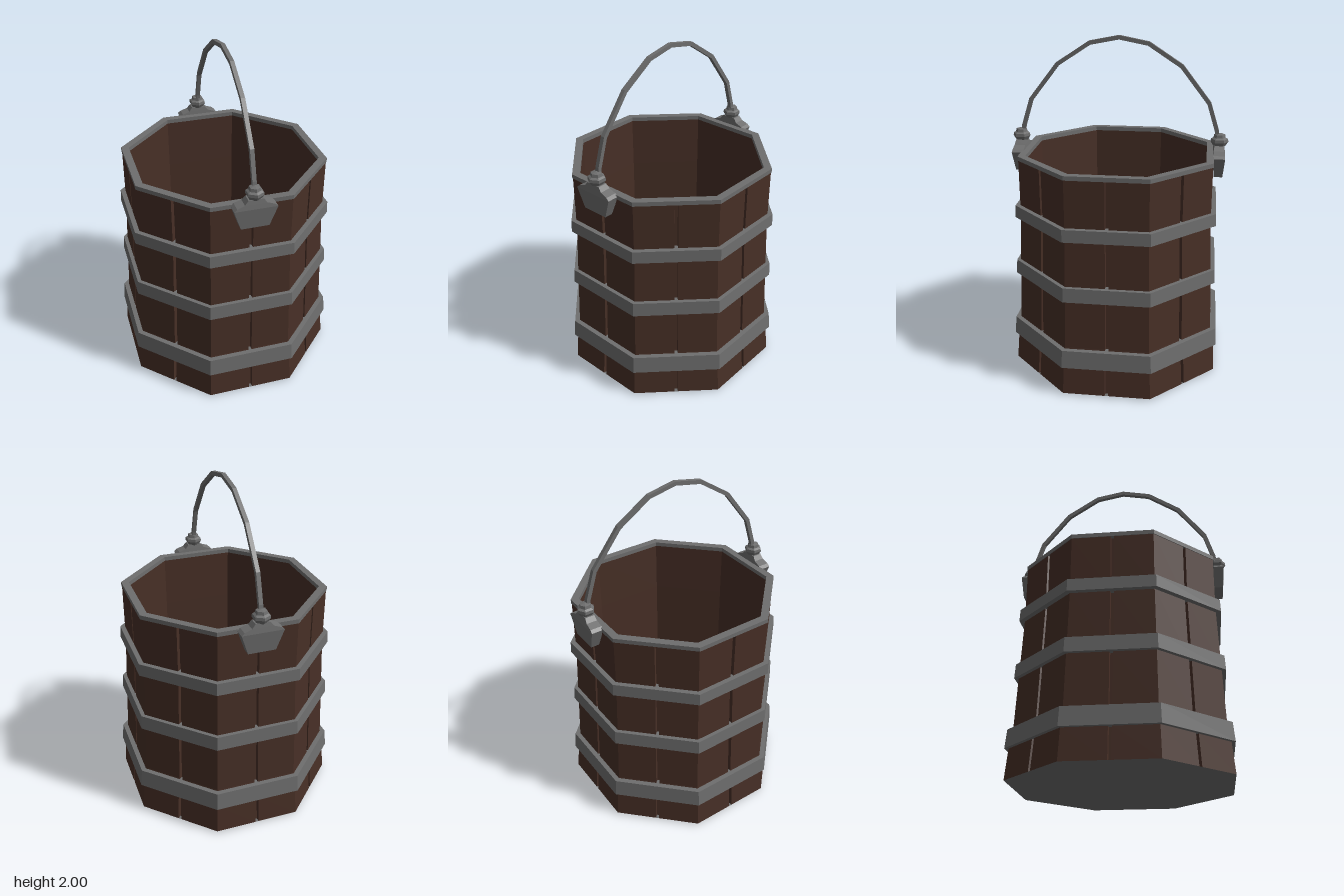
import * as THREE from 'three';

const metal = new THREE.MeshStandardMaterial({ color: 0x6e6e6e, flatShading: true });
const floorMetal = new THREE.MeshStandardMaterial({ color: 0x6e6e6e, flatShading: true, side: THREE.DoubleSide });
const wood = new THREE.MeshStandardMaterial({ color: 0x472f26, flatShading: true });
const SIDES = 8;

function part(name, geometry, material) {
  const mesh = new THREE.Mesh(geometry, material);
  mesh.name = name;
  return mesh;
}

// Skin a stack of equally sized closed rings, optionally closing both ends
function loft(rings, capped = true) {
  const n = rings[0].length;
  const index = [];
  for (let r = 0; r < rings.length - 1; r++) {
    for (let i = 0; i < n; i++) {
      const a = r * n + i, b = r * n + (i + 1) % n;
      index.push(a, b, a + n, b, b + n, a + n);
    }
  }
  if (capped) {
    const top = (rings.length - 1) * n;
    for (let i = 1; i < n - 1; i++) index.push(0, i + 1, i, top, top + i, top + i + 1);
  }
  const geometry = new THREE.BufferGeometry().setFromPoints(rings.flat());
  geometry.setIndex(index);
  geometry.computeVertexNormals();
  return geometry;
}

// Eight-sided turned shape from [radius, height] pairs
function turned(profile, sides = SIDES) {
  return new THREE.LatheGeometry(profile.map(([r, y]) => new THREE.Vector2(r, y)), sides);
}

// Hoop with a slightly tapering outer face
function hoop(y0, y1, r0, r1, inner) {
  return turned([[r0, y0], [r1, y1], [inner, y1], [inner, y0], [r0, y0]]);
}

// Octagon outline with a narrow groove in the middle of every side
function staveRing(radius, y) {
  const ring = [];
  const half = Math.PI / SIDES;
  const apothem = radius * Math.cos(half);
  for (let k = 0; k < SIDES; k++) {
    const a = k * 2 * half, m = a + half;
    ring.push(new THREE.Vector3(radius * Math.sin(a), y, radius * Math.cos(a)));
    for (const [t, depth] of [[-0.01, 0], [-0.008, 0.025], [0.008, 0.025], [0.01, 0]]) {
      const d = apothem - depth;
      ring.push(new THREE.Vector3(
        d * Math.sin(m) + t * Math.cos(m), y, d * Math.cos(m) - t * Math.sin(m)));
    }
  }
  return ring;
}

// Bracket plate hooked over the rim, with a faceted knob on top
function bracket() {
  const group = new THREE.Group();
  const sections = [
    [1.2, 0.08, 0.025], [1.32, 0.122, 0.036], [1.335, 0.105, 0.034],
    [1.35, 0.062, 0.032], [1.375, 0.042, 0.028],
  ];
  group.add(part('bracketPlate', loft(sections.map(([y, w, d]) => [
    new THREE.Vector3(-w, y, d), new THREE.Vector3(w, y, d),
    new THREE.Vector3(w, y, -d), new THREE.Vector3(-w, y, -d),
  ])), metal));
  group.add(part('bracketKnob', turned([
    [0, 1.365], [0.036, 1.37], [0.052, 1.395], [0.05, 1.412], [0.036, 1.42], [0.032, 1.438], [0, 1.445],
  ], 6), metal));
  group.position.z = 0.593;
  return group;
}

// Square bar bent along an arch in the local yz plane
function bail() {
  const side = [[0.583, 1.4], [0.575, 1.46], [0.525, 1.62], [0.362, 1.83], [0.17, 1.955]];
  const path = [...side, [0, 1.988], ...side.map(([z, y]) => [-z, y]).reverse()]
    .map(([z, y]) => new THREE.Vector3(0, y, z));
  const across = new THREE.Vector3(1, 0, 0);
  const size = 0.012;
  return loft(path.map((p, i) => {
    const tangent = path[Math.min(i + 1, path.length - 1)].clone()
      .sub(path[Math.max(i - 1, 0)]).normalize();
    const out = across.clone().cross(tangent);
    return [[1, -1], [1, 1], [-1, 1], [-1, -1]].map(([n, b]) =>
      p.clone().addScaledVector(out, n * size).addScaledVector(across, b * size));
  }));
}

export function createModel() {
  const model = new THREE.Group();
  model.name = 'bucket';

  // Wooden staves, flaring towards the foot
  const outer = [[0.668, 0.01], [0.652, 0.19], [0.634, 0.3], [0.622, 0.6], [0.607, 0.97], [0.608, 1.31]];
  model.add(part('staves', loft(outer.map(([r, y]) => staveRing(r, y)), false), wood));
  model.add(part('innerWall', turned([[0.566, 1.32], [0.562, 1.0], [0.562, 0.01]]), wood));

  // Shallow dished floor
  model.add(part('floor', turned([[0, 0], [0.668, 0.01]]), floorMetal));

  // Rim and hoops
  model.add(part('rim', hoop(1.305, 1.33, 0.612, 0.612, 0.565), metal));
  model.add(part('lowerHoop', hoop(0.185, 0.292, 0.676, 0.666, 0.6), metal));
  model.add(part('middleHoop', hoop(0.595, 0.68, 0.648, 0.643, 0.59), metal));
  model.add(part('upperHoop', hoop(0.957, 1.03, 0.64, 0.637, 0.58), metal));

  // Handle spans two opposite flat sides
  const handle = new THREE.Group();
  handle.name = 'handle';
  handle.add(part('bail', bail(), metal));
  for (const [name, turn] of [['frontBracket', 0], ['backBracket', Math.PI]]) {
    const pivot = new THREE.Group();
    pivot.name = name;
    pivot.rotation.y = turn;
    pivot.add(bracket());
    handle.add(pivot);
  }
  handle.rotation.y = -Math.PI / SIDES;
  model.add(handle);

  return model;
}
